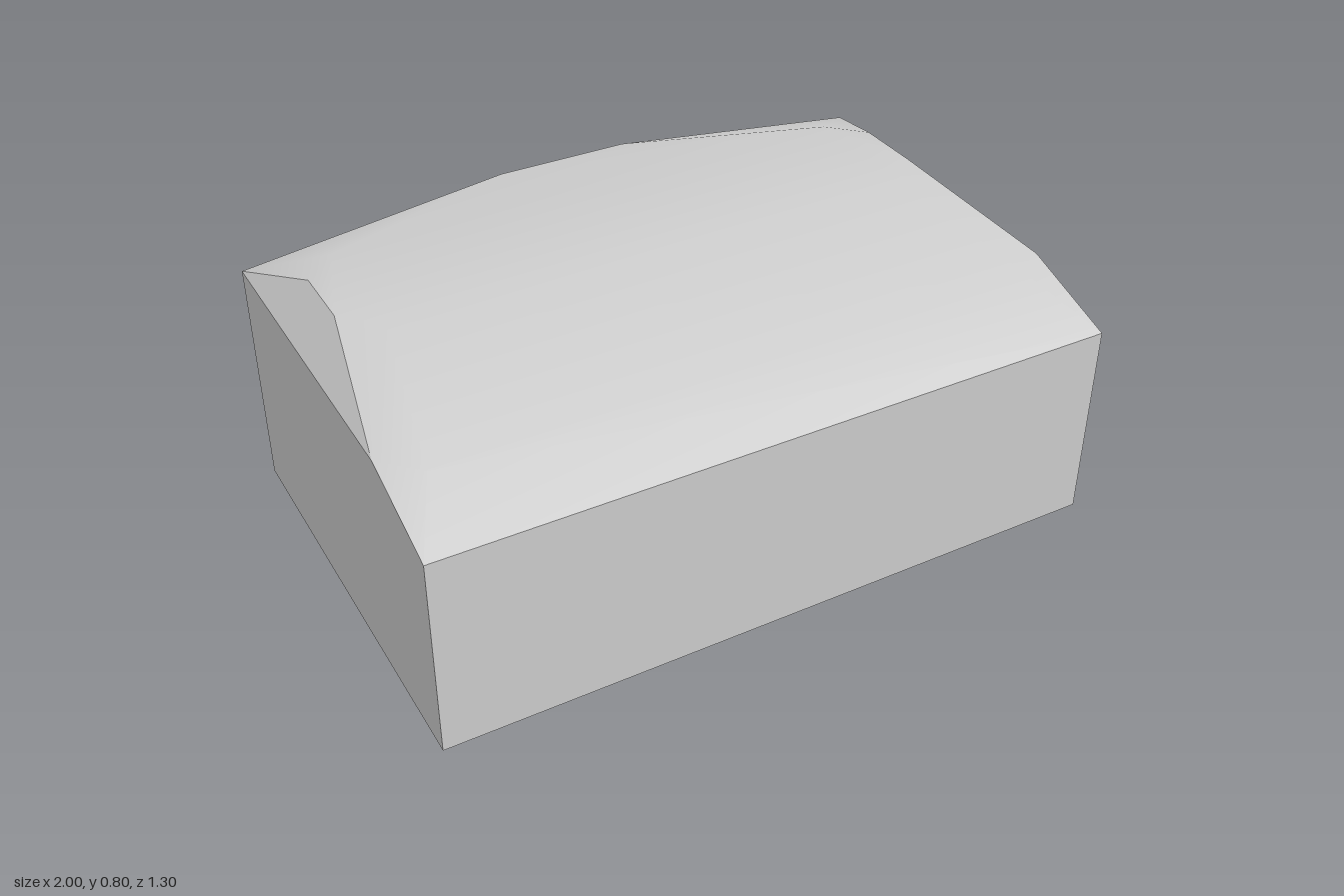
import * as THREE from 'three';
import { toCreasedNormals } from 'three/addons/utils/BufferGeometryUtils.js';

// Corner points of the +x half; a trailing "m" on a name means its mirror image
const P = {
  footFront: [1, 0, 0.65], footBack: [1, 0, -0.65],
  eaveFront: [1, 0.6, 0.65], eaveSide: [1, 0.7, 0.35], eaveBack: [1, 0.7, -0.65],
  slope: [0.9, 0.7, 0.45], ridge: [0.8, 0.8, -0.05],
  gableFront: [0.9, 0.8, -0.15], gableBack: [0.9, 0.8, -0.35],
  rear: [0.8, 0.8, -0.45], rearEdge: [0.2, 0.8, -0.65],
};
for (const k of Object.keys(P)) P[k + 'm'] = [-P[k][0], P[k][1], P[k][2]];

// Fan-triangulates convex faces and turns each one outward
function solid(name, material, faces) {
  const middle = new THREE.Vector3(0, 0.4, 0);
  const out = [];
  for (const face of faces) {
    const pts = face.map((k) => new THREE.Vector3(...P[k]));
    for (let i = 1; i < pts.length - 1; i++) {
      const [a, b, c] = [pts[0], pts[i], pts[i + 1]];
      const n = b.clone().sub(a).cross(c.clone().sub(a));
      const tri = n.dot(a.clone().sub(middle)) > 0 ? [a, b, c] : [a, c, b];
      tri.forEach((p) => out.push(p.x, p.y, p.z));
    }
  }
  const geo = new THREE.BufferGeometry();
  geo.setAttribute('position', new THREE.Float32BufferAttribute(out, 3));
  const mesh = new THREE.Mesh(toCreasedNormals(geo, THREE.MathUtils.degToRad(30)), material);
  mesh.name = name;
  return mesh;
}

const mirrored = (faces) => faces.concat(faces.map((f) => f.map((k) => k + 'm')));

export function createModel() {
  const group = new THREE.Group();
  group.name = 'block';
  const grey = new THREE.MeshStandardMaterial({ color: 0xcccccc });
  grey.name = 'lightGrey';

  // Upright walls and floor
  group.add(solid('walls', grey, [
    ['footFront', 'eaveFront', 'eaveFrontm', 'footFrontm'],
    ['footBack', 'eaveBack', 'rearEdge', 'rearEdgem', 'eaveBackm', 'footBackm'],
    ['footFront', 'footBack', 'footBackm', 'footFrontm'],
    ...mirrored([['footFront', 'footBack', 'eaveBack', 'eaveSide', 'eaveFront']]),
  ]));

  // Smooth domed top with bevelled corners
  group.add(solid('domedTop', grey, [
    ['eaveFront', 'slope', 'slopem', 'eaveFrontm'],
    ['slope', 'ridge', 'ridgem', 'slopem'],
    ['ridge', 'rear', 'rearm', 'ridgem'],
    ['rear', 'rearEdge', 'rearEdgem', 'rearm'],
    ...mirrored([
      ['eaveFront', 'eaveSide', 'slope'],
      ['eaveSide', 'gableFront', 'ridge', 'slope'],
      ['gableFront', 'gableBack', 'rear', 'ridge'],
      ['gableBack', 'eaveBack', 'rear'],
      ['eaveBack', 'rearEdge', 'rear'],
    ]),
  ]));

  // Slanted facets at both ends
  group.add(solid('endFacets', grey, mirrored([
    ['eaveSide', 'eaveBack', 'gableBack', 'gableFront'],
  ])));
  return group;
}
